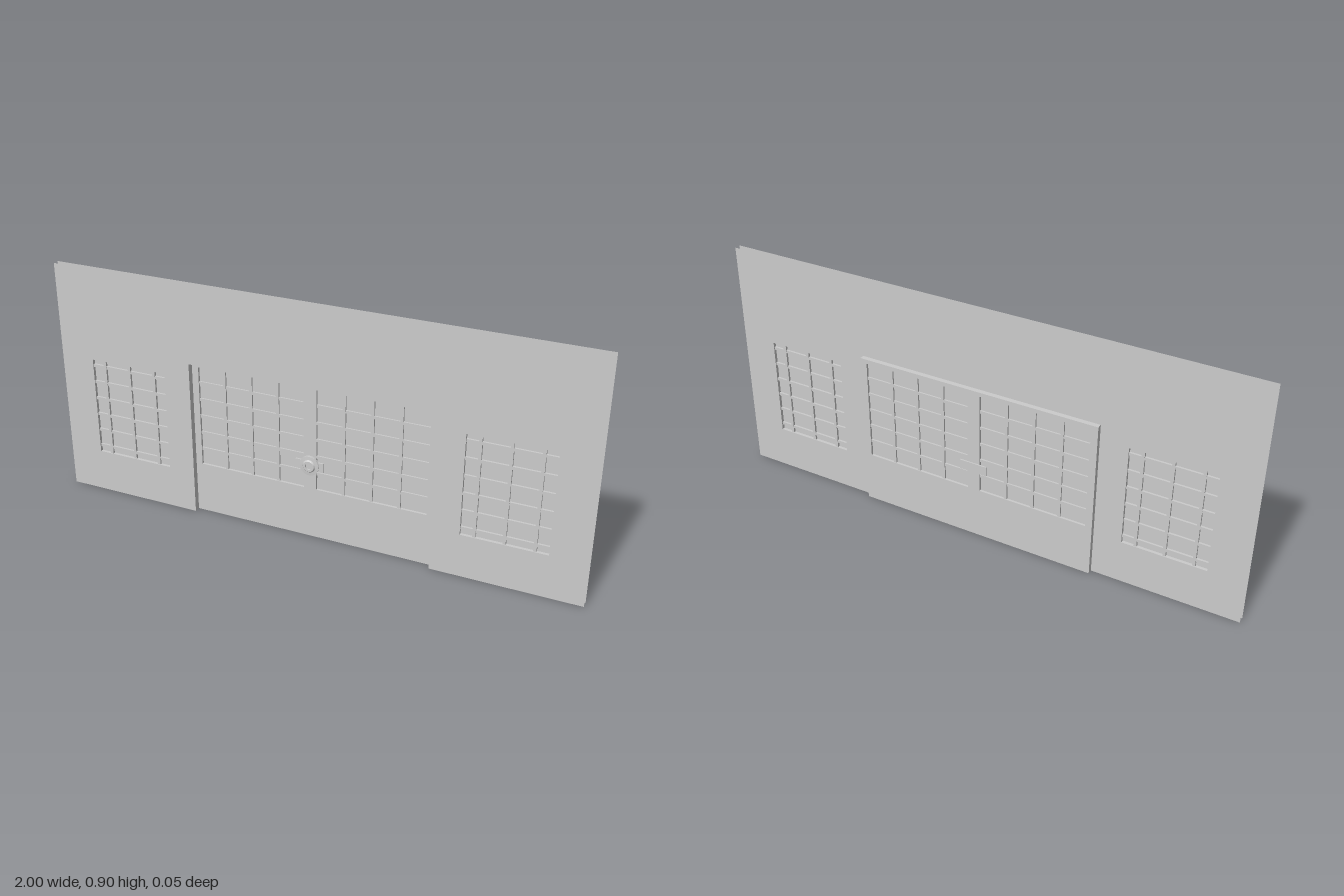
import * as THREE from 'three';

const material = new THREE.MeshStandardMaterial({ color: 0xcccccc, side: THREE.DoubleSide, flatShading: true });

const FRONT = 0.023, BACK = 0, DOOR_BACK = -0.018;
const W = 1, H = 0.897, DOOR_W = 0.461, DOOR_H = 0.6;
const sideWindow = { cx: 0.716, cy: 0.354, w: 0.305, h: 0.38 };
const doorWindow = { cx: 0.23, cy: 0.39, w: 0.412, h: 0.388 };
const STEP_X = 0.104, STEP_Y = 0.066, BAR = 0.011;

function add(parent, name, geometry, x = 0, y = 0, z = 0) {
  const mesh = new THREE.Mesh(geometry, material);
  mesh.name = name;
  mesh.position.set(x, y, z);
  parent.add(mesh);
  return mesh;
}

function box(parent, name, w, h, d, x, y, z) {
  return add(parent, name, new THREE.BoxGeometry(w, h, d), x, y, z);
}

// Rectangular hole for a window on one side (s = 1 or -1)
function windowHole(o, s) {
  const x0 = s * o.cx - o.w / 2, x1 = x0 + o.w, y0 = o.cy - o.h / 2, y1 = y0 + o.h;
  return new THREE.Path([[x0, y0], [x0, y1], [x1, y1], [x1, y0]].map(p => new THREE.Vector2(...p)));
}

function outline(points, hole) {
  const shape = new THREE.Shape(points.map(p => new THREE.Vector2(...p)));
  shape.holes.push(windowHole(hole, -1), windowHole(hole, 1));
  return shape;
}

// Pane with crossing bars; bars run past the opening by overX and overY
function lattice(parent, name, o, s, zMid, depth, nx, ny, overX, overY) {
  const group = new THREE.Group();
  group.name = name;
  group.position.set(s * o.cx, o.cy, zMid);
  add(group, 'pane', new THREE.PlaneGeometry(o.w, o.h));
  for (let i = 0; i < nx; i++)
    box(group, 'verticalBar', BAR, o.h + 2 * overY, depth, (i - (nx - 1) / 2) * STEP_X, 0, 0);
  for (let i = 0; i < ny; i++)
    box(group, 'horizontalBar', o.w + 2 * overX, BAR, depth * 0.9, 0, (i - (ny - 1) / 2) * STEP_Y, 0);
  parent.add(group);
}

// Four inner faces of a window opening
function reveal(parent, o, s, z0, z1) {
  const d = z1 - z0, z = (z0 + z1) / 2;
  for (const e of [-1, 1]) {
    const side = add(parent, 'windowReveal', new THREE.PlaneGeometry(d, o.h), s * o.cx + e * o.w / 2, o.cy, z);
    side.rotation.y = -e * Math.PI / 2;
    const flat = add(parent, 'windowReveal', new THREE.PlaneGeometry(o.w, d), s * o.cx, o.cy + e * o.h / 2, z);
    flat.rotation.x = e * Math.PI / 2;
  }
}

export function createModel() {
  const model = new THREE.Group();
  model.name = 'wallWithDoubleDoor';

  // Wall: two open skins with a doorway and two windows
  const wallShape = outline([[-W, 0], [-DOOR_W, 0], [-DOOR_W, DOOR_H], [DOOR_W, DOOR_H],
    [DOOR_W, 0], [W, 0], [W, H], [-W, H]], sideWindow);
  add(model, 'wallFront', new THREE.ShapeGeometry(wallShape), 0, 0, FRONT);
  const backSkin = new THREE.ShapeGeometry(wallShape);
  backSkin.rotateY(Math.PI);
  add(model, 'wallBack', backSkin, 0, 0, BACK);

  // Doorway jambs and lintel
  for (const s of [-1, 1]) {
    const jamb = add(model, 'doorJamb', new THREE.PlaneGeometry(FRONT, DOOR_H), s * DOOR_W, DOOR_H / 2, FRONT / 2);
    jamb.rotation.y = -s * Math.PI / 2;
  }
  add(model, 'doorLintel', new THREE.PlaneGeometry(2 * DOOR_W, FRONT), 0, DOOR_H, FRONT / 2).rotation.x = Math.PI / 2;

  // Door slab with two openings, recessed in front and proud at the back
  const doorShape = outline([[-DOOR_W, 0], [DOOR_W, 0], [DOOR_W, DOOR_H], [-DOOR_W, DOOR_H]], doorWindow);
  add(model, 'door', new THREE.ExtrudeGeometry(doorShape, { depth: -DOOR_BACK, bevelEnabled: false }), 0, 0, DOOR_BACK);

  // Window lattices
  for (const s of [-1, 1]) {
    reveal(model, sideWindow, s, BACK, FRONT);
    lattice(model, 'sideWindow', sideWindow, s, 0.0115, 0.017, 3, 6, 0.028, 0.015);
    lattice(model, 'doorWindow', doorWindow, s, DOOR_BACK / 2, 0.013, 3, 5, 0, 0);
  }

  // Lock: plates on both faces, stepped round knob in front
  const lock = new THREE.Group();
  lock.name = 'lock';
  lock.position.set(0, 0.29, 0);
  box(lock, 'backPlate', 0.105, 0.036, 0.005, 0, 0, -0.0205);
  box(lock, 'frontPlate', 0.105, 0.036, 0.006, 0, 0, 0.003);
  const ring = [[0, 0.009], [0.012, 0.009], [0.012, 0.015], [0.02, 0.015], [0.024, 0.01],
    [0.037, 0.009], [0.037, 0]].map(p => new THREE.Vector2(...p)).reverse();
  const knob = add(lock, 'knob', new THREE.LatheGeometry(ring, 24));
  knob.rotation.x = Math.PI / 2;
  model.add(lock);

  return model;
}
